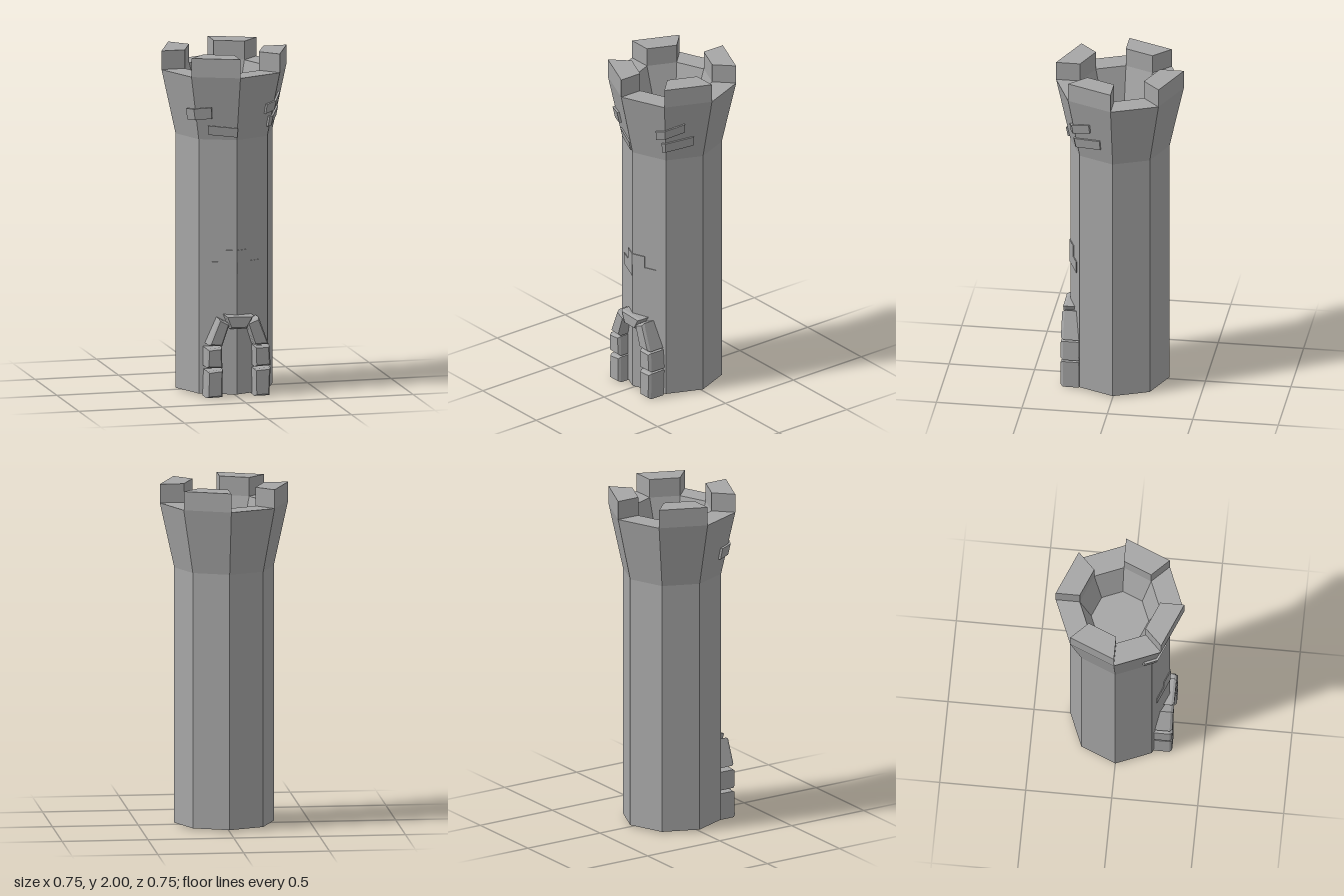
import * as THREE from 'three';

const DEG = Math.PI / 180;
const BASE = 0.01, NECK = 1.51, RIM = 1.89, TOP = 2;
const R_SHAFT = 0.29, R_RIM = 0.374, R_PIT = 0.234;

// Crisp facets for every part
function faceted(geometry) {
  const g = geometry.index ? geometry.toNonIndexed() : geometry;
  g.computeVertexNormals();
  return g;
}

// Point on the eight-sided wall; angle runs from +x towards +z
function wallPoint(angle, y, offset) {
  const flare = Math.max(0, (y - NECK) / (RIM - NECK));
  const corner = R_SHAFT + (R_RIM - R_SHAFT) * flare;
  const local = (((angle % 45) + 45) % 45) - 22.5;
  const r = (corner * Math.cos(22.5 * DEG) + offset) / Math.cos(local * DEG);
  return [r * Math.cos(angle * DEG), y, r * Math.sin(angle * DEG)];
}

// Slim brick wrapped around the wall from angle a to b (a > b), tilting from ya to yb
function brickGeometry(a, b, ya, yb, height, offset) {
  const angles = [a];
  for (let c = 315; c >= 0; c -= 45) if (c < a && c > b) angles.push(c);
  angles.push(b);
  const pos = [], idx = [];
  angles.forEach((angle) => {
    const y = ya + (yb - ya) * (a - angle) / (a - b);
    pos.push(...wallPoint(angle, y, offset), ...wallPoint(angle, y + height, offset),
      ...wallPoint(angle, y + height, -0.02), ...wallPoint(angle, y, -0.02));
  });
  const last = (angles.length - 1) * 4;
  for (let i = 0; i < last; i += 4) {
    for (let j = 0; j < 4; j++) {
      const k = (j + 1) % 4;
      idx.push(i + j, i + 4 + j, i + 4 + k, i + j, i + 4 + k, i + k);
    }
  }
  idx.push(0, 1, 2, 0, 2, 3, last, last + 2, last + 1, last, last + 3, last + 2);
  const g = new THREE.BufferGeometry();
  g.setAttribute('position', new THREE.Float32BufferAttribute(pos, 3));
  g.setIndex(idx);
  return faceted(g);
}

// Prism with straight sides from an outline
function prism(points, options) {
  const shape = new THREE.Shape(points.map(([x, y]) => new THREE.Vector2(x, y)));
  return new THREE.ExtrudeGeometry(shape, { bevelEnabled: false, ...options });
}

export function createModel() {
  const model = new THREE.Group();
  const stone = new THREE.MeshStandardMaterial({ color: 0xa6a6a6 });
  stone.name = 'grey stone';
  const add = (name, geometry, parent = model) => {
    const mesh = new THREE.Mesh(geometry, stone);
    mesh.name = name;
    parent.add(mesh);
    return mesh;
  };
  const group = (name) => {
    const g = new THREE.Group();
    g.name = name;
    model.add(g);
    return g;
  };

  // Shaft, flared head and sunken roof in one profile
  const profile = [[0, BASE], [R_SHAFT, BASE], [R_SHAFT, NECK], [R_RIM, RIM],
    [R_PIT, RIM], [0.167, 1.67], [0, 1.67]].map(([x, y]) => new THREE.Vector2(x, y));
  add('towerBody', faceted(new THREE.LatheGeometry(profile, 8)));

  // Four battlements on every other side
  const battlements = group('battlements');
  for (let a = 0; a < 360; a += 90) {
    const at = (r, angle) => [r * Math.cos(angle * DEG), -r * Math.sin(angle * DEG)];
    const g = prism([at(R_RIM, a), at(R_RIM, a + 45), at(R_PIT, a + 45), at(R_PIT, a)],
      { depth: TOP - RIM });
    g.rotateX(-Math.PI / 2);
    g.translate(0, RIM, 0);
    add('battlement', faceted(g), battlements);
  }

  // Door arch: bevelled stones, outlines already allow for the bevel
  const arch = group('doorArch');
  const bevel = 0.01;
  const stones = [
    [[-0.175, 0.01], [-0.10, 0.012], [-0.097, 0.155], [-0.17, 0.148]],
    [[-0.173, 0.188], [-0.10, 0.183], [-0.102, 0.285], [-0.172, 0.28]],
    [[-0.16, 0.318], [-0.098, 0.312], [-0.058, 0.428], [-0.105, 0.452]],
    [[-0.038, 0.412], [0.05, 0.41], [0.085, 0.468], [-0.062, 0.474]],
    [[0.105, 0.312], [0.175, 0.31], [0.122, 0.45], [0.066, 0.428]],
    [[0.112, 0.183], [0.188, 0.186], [0.182, 0.283], [0.11, 0.285]],
    [[0.112, 0.01], [0.182, 0.01], [0.188, 0.155], [0.11, 0.15]],
  ];
  stones.forEach((outline) => {
    const g = prism(outline, { depth: 0.09, bevelEnabled: true, bevelSegments: 1,
      bevelSize: bevel, bevelThickness: 0.015 });
    g.translate(0, 0, 0.215);
    add('archStone', faceted(g), arch);
  });

  // Raised bricks: start angle, end angle, y at each end, height, relief
  const bricks = group('wallBricks');
  [
    [106, 74, 0.79, 0.79, 0.07, 0.005],
    [124, 90.5, 0.72, 0.72, 0.07, 0.005],
    [89.5, 58, 0.72, 0.72, 0.07, 0.005],
    [148, 118, 1.62, 1.64, 0.068, 0.014],
    [123, 90, 1.54, 1.528, 0.055, 0.01],
    [55, 25, 1.65, 1.70, 0.057, 0.012],
    [49, 14, 1.57, 1.60, 0.06, 0.012],
  ].forEach((b) => add('wallBrick', brickGeometry(...b), bricks));

  return model;
}
